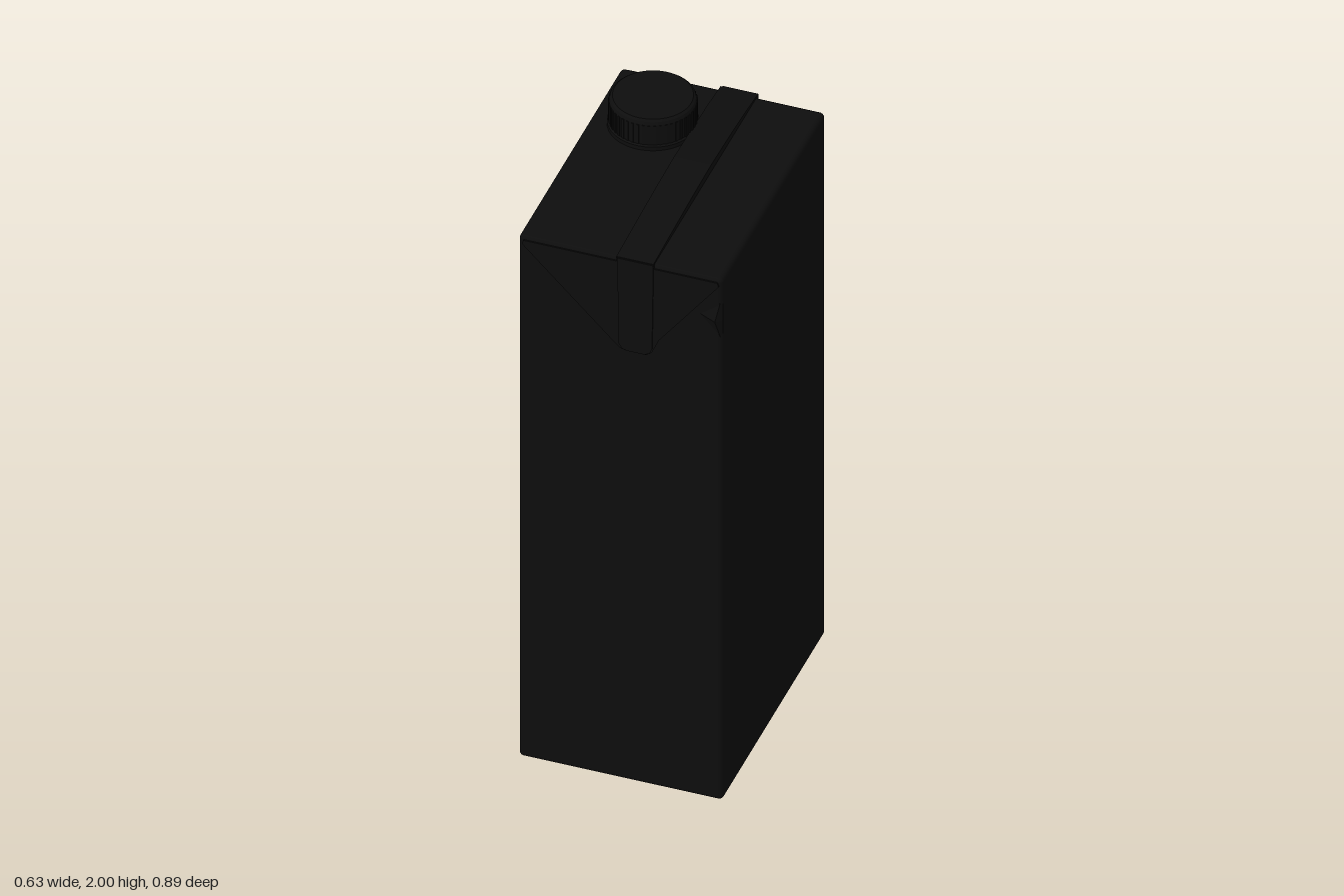
import * as THREE from 'three';
import { RoundedBoxGeometry } from 'three/addons/geometries/RoundedBoxGeometry.js';
import { ConvexGeometry } from 'three/addons/geometries/ConvexGeometry.js';

const black = new THREE.MeshStandardMaterial({ color: 0x0d0d0d });
black.name = 'carton black';

const FRONT = 0.43, BACK = -0.438, TOP = 1.897;

function add(parent, geometry, name) {
  const mesh = new THREE.Mesh(geometry, black);
  mesh.name = name;
  parent.add(mesh);
  return mesh;
}

function extrude(points, depth) {
  const shape = new THREE.Shape(points.map(([x, y]) => new THREE.Vector2(x, y)));
  return new THREE.ExtrudeGeometry(shape, { depth, bevelEnabled: false });
}

// Folded ear with the sealed strip running down to its blunt tip
function makeFlap(name) {
  const flap = new THREE.Group();
  flap.name = name;
  add(flap, extrude([
    [-0.3, 1.885], [-0.305, 1.872], [-0.02, 1.59], [0, 1.572], [0.02, 1.567],
    [0.08, 1.567], [0.098, 1.58], [0.12, 1.63], [0.305, 1.872], [0.3, 1.885],
  ], 0.006), 'foldedTriangle');
  add(flap, extrude([
    [-0.008, 1.9], [-0.003, 1.59], [0.008, 1.574], [0.025, 1.57],
    [0.075, 1.57], [0.092, 1.577], [0.1, 1.595], [0.104, 1.9],
  ], 0.01), 'sealStrip');
  return flap;
}

// Screw cap with a base flange, chamfered rim and gripping ribs
function makeCap() {
  const cap = new THREE.Group();
  cap.name = 'screwCap';
  const shell = [
    [0, 1.885], [0.134, 1.885], [0.134, 1.91], [0.128, 1.914],
    [0.128, 1.985], [0.125, 1.994], [0.118, 2], [0, 2],
  ].map(([r, y]) => new THREE.Vector2(r, y));
  // Separate bands keep the profile edges crisp
  for (let i = 0; i < shell.length - 1; i++) {
    add(cap, new THREE.LatheGeometry([shell[i], shell[i + 1]], 64), 'capShell');
  }
  const rib = new THREE.BoxGeometry(0.005, 0.068, 0.007);
  const ribs = 48;
  for (let i = 0; i < ribs; i++) {
    const a = (i / ribs) * Math.PI * 2;
    const mesh = add(cap, rib, 'capRib');
    mesh.position.set(Math.cos(a) * 0.128, 1.949, Math.sin(a) * 0.128);
    mesh.rotation.y = -a;
  }
  cap.position.set(-0.137, 0, -0.213);
  return cap;
}

export function createModel() {
  const model = new THREE.Group();
  model.name = 'drinkCarton';

  // Tall body with softly rounded edges
  const body = add(model, new RoundedBoxGeometry(0.632, TOP, FRONT - BACK, 4, 0.015), 'cartonBody');
  body.position.set(-0.001, TOP / 2, (FRONT + BACK) / 2);

  // Sealed fin lying across the top, slightly arched from front to back
  const fin = add(model, extrude([
    [0.434, 1.88], [0.434, 1.902], [0.3, 1.909], [0.1, 1.918], [-0.05, 1.922],
    [-0.2, 1.918], [-0.35, 1.91], [-0.442, 1.902], [-0.442, 1.88],
  ], 0.115), 'topFin');
  fin.rotation.y = -Math.PI / 2;
  fin.position.x = 0.103;

  // Folded ears, the back one mirrored by a half turn of its depth
  const frontFlap = makeFlap('frontFlap');
  frontFlap.position.z = FRONT - 0.002;
  const backFlap = makeFlap('backFlap');
  backFlap.position.z = BACK - 0.006;
  backFlap.children[1].position.z = -0.004;
  model.add(frontFlap, backFlap);

  // Pinched crease at the upper front corner
  add(model, new ConvexGeometry([
    [0.313, 1.84, 0.42], [0.313, 1.66, 0.42], [0.24, 1.76, 0.428],
    [0.297, 1.75, 0.445], [0.316, 1.75, 0.425], [0.314, 1.75, 0.32], [0.28, 1.75, 0.4],
  ].map((p) => new THREE.Vector3(...p))), 'cornerCrease');

  model.add(makeCap());
  return model;
}
